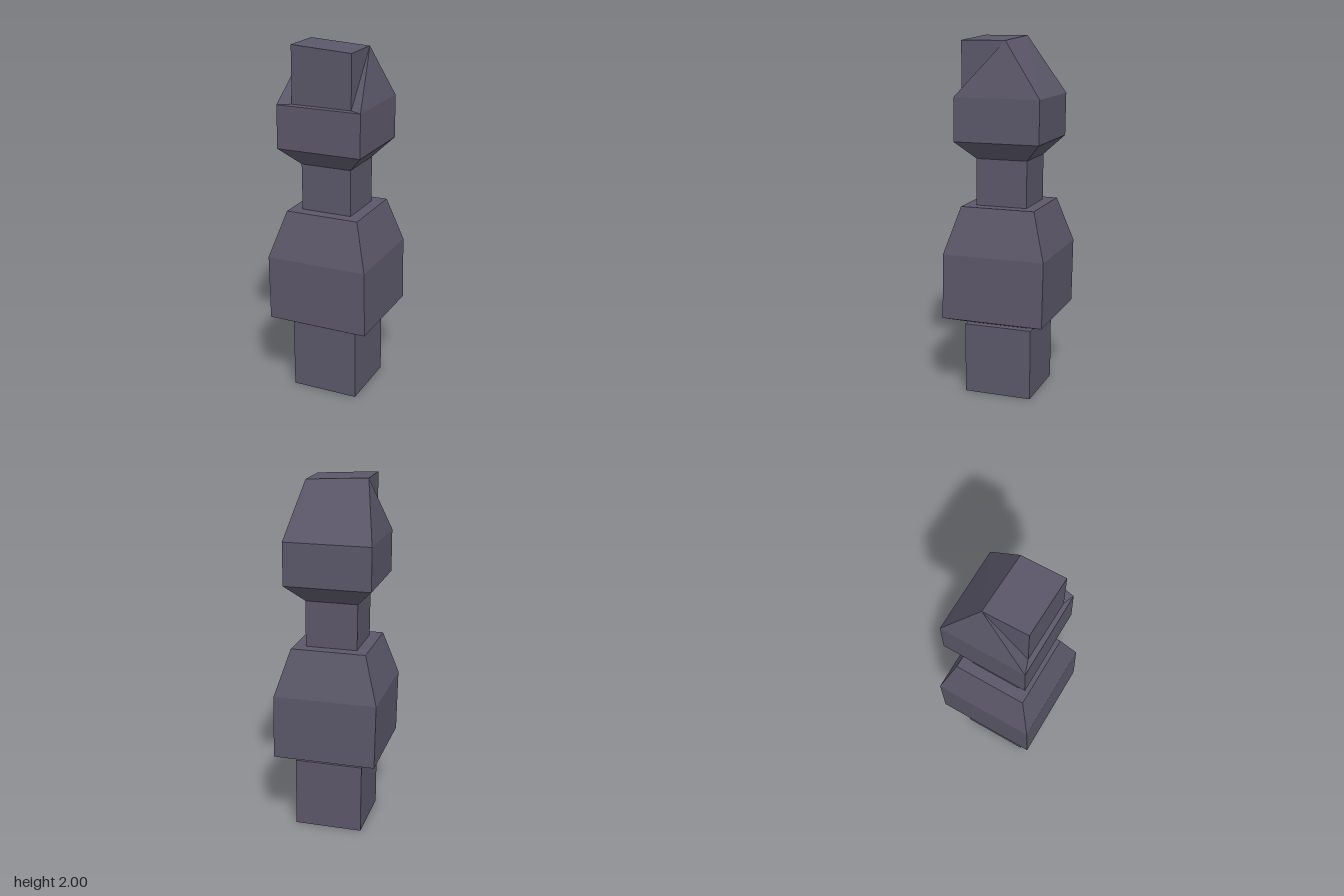
import * as THREE from 'three';

const material = new THREE.MeshStandardMaterial({ color: 0x5b5769, flatShading: true });
const TWIST = -0.05; // the whole figure is turned slightly about y

// Corners of a square ring, in order front-left, front-right, back-right, back-left as seen from the front
function ring([y, half, cx, cz]) {
  const c = Math.cos(TWIST), s = Math.sin(TWIST);
  return [[-1, 1], [1, 1], [1, -1], [-1, -1]].map(([x, z]) =>
    [cx + half * (x * c + z * s), y, cz + half * (z * c - x * s)]);
}

// Builds a mesh from convex polygons whose corners run counter-clockwise from outside
function polyMesh(name, polygons) {
  const positions = [];
  for (const p of polygons)
    for (let i = 1; i < p.length - 1; i++) positions.push(...p[0], ...p[i], ...p[i + 1]);
  const geometry = new THREE.BufferGeometry();
  geometry.setAttribute('position', new THREE.Float32BufferAttribute(positions, 3));
  geometry.computeVertexNormals();
  const mesh = new THREE.Mesh(geometry, material);
  mesh.name = name;
  return mesh;
}

// Closed square loft through sections [y, half width, centre x, centre z]
function loft(name, sections) {
  const rings = sections.map(ring);
  const polygons = [[...rings[0]].reverse(), rings[rings.length - 1]];
  for (let k = 0; k < rings.length - 1; k++)
    for (let i = 0; i < 4; i++) {
      const j = (i + 1) % 4;
      polygons.push([rings[k][i], rings[k][j], rings[k + 1][j], rings[k + 1][i]]);
    }
  return polyMesh(name, polygons);
}

// Wedge-shaped crown: upright front block, sloping sides and back
function crown() {
  const [rimFL, rimFR, rimBR, rimBL] = ring([1.68, 0.243, -0.01, -0.007]);
  const topFL = [-0.186, 2, 0.2], topFR = [0.16, 1.98, 0.222];
  const topBR = [0.167, 1.98, -0.027], topBL = [-0.18, 2, -0.05];
  const footL = [-0.186, 1.685, 0.2], footR = [0.16, 1.685, 0.222];
  return polyMesh('crown', [
    [topFL, topFR, topBR, topBL],
    [footL, footR, topFR, topFL],
    [rimFL, rimFR, footR, footL],
    [rimBR, rimBL, topBL, topBR],
    [footR, topBR, topFR],
    [footR, rimFR, topBR],
    [rimFR, rimBR, topBR],
    [footL, topFL, topBL],
    [rimFL, footL, topBL],
    [rimFL, topBL, rimBL],
  ]);
}

export function createModel() {
  const model = new THREE.Group();
  model.name = 'blockFigure';
  model.add(
    loft('base', [[0, 0.193, 0.003, 0.004], [0.4, 0.193, 0, 0.003]]),
    loft('body', [
      [0.4, 0.15, 0.002, 0.004],
      [0.455, 0.29, 0.002, 0.003],
      [0.82, 0.29, -0.006, -0.002],
      [1.08, 0.211, -0.005, -0.001],
    ]),
    loft('neck', [[1.08, 0.146, -0.006, -0.001], [1.34, 0.146, -0.009, -0.003]]),
    loft('head', [
      [1.34, 0.146, -0.009, -0.003],
      [1.44, 0.243, -0.009, -0.004],
      [1.68, 0.243, -0.01, -0.007],
    ]),
    crown(),
  );
  return model;
}
